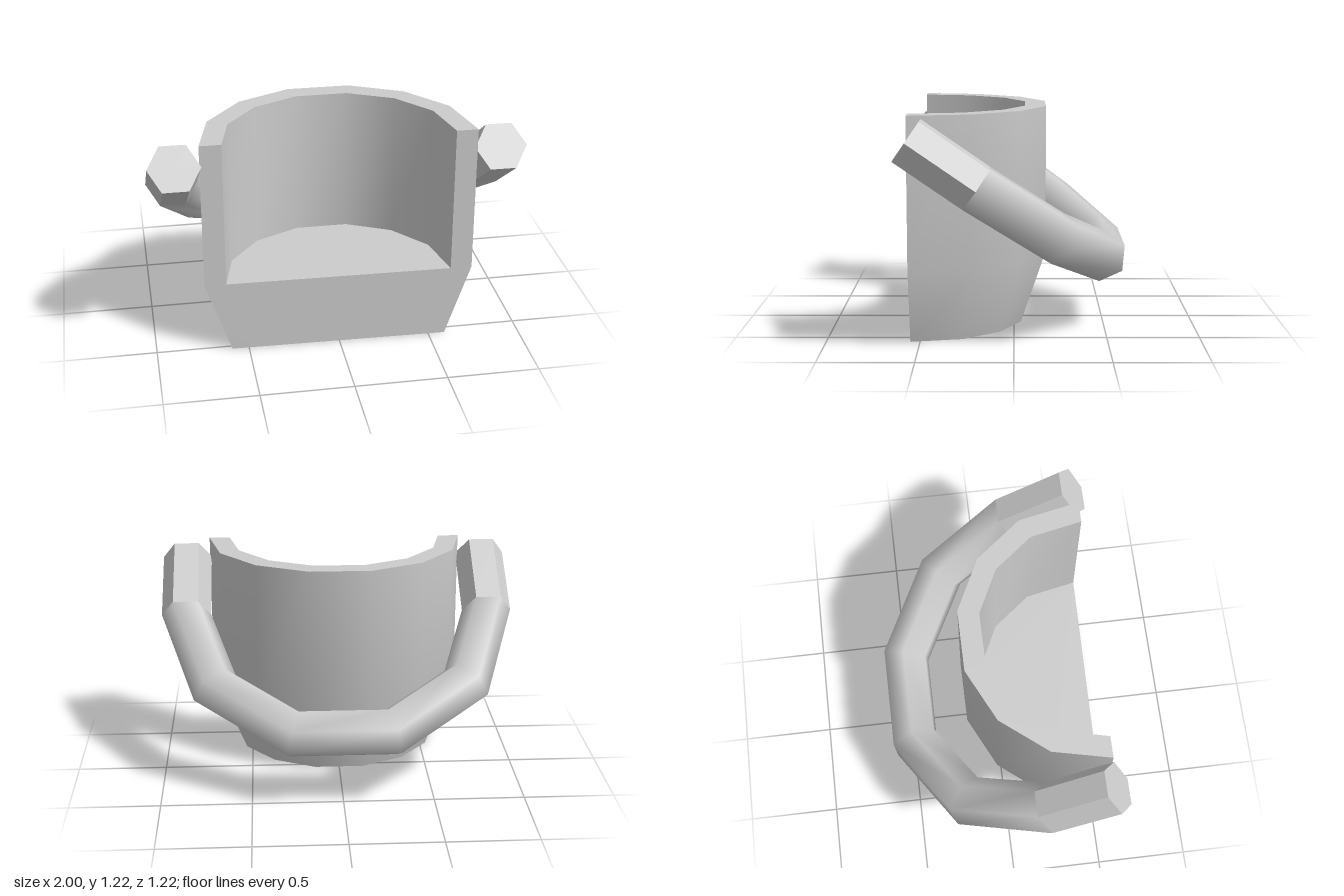
import * as THREE from 'three';
import { toCreasedNormals } from 'three/addons/utils/BufferGeometryUtils.js';

const FRONT = 0.54;
const material = () => new THREE.MeshStandardMaterial({ color: 0xcccccc });

// Half-round outline from the left front corner, round the back, to the right
const half = [[0.73, 0], [0.66, -0.325], [0.46, -0.575], [0.17, -0.715]];
const outline = [...half, ...half.map(([x, z]) => [-x, z]).reverse()];

function ring(scale, y) {
  return outline.map(([x, z]) => {
    const skew = z === 0 ? 0.012 * Math.sign(x) : 0;
    return [x * scale, y, FRONT + z * scale + skew];
  });
}

// Half-round pocket: tapered solid base, thick curved wall, open front
function createPocket() {
  const rings = [ring(0.81, 0), ring(1, 0.405), ring(1, 1.22), ring(0.84, 1.22), ring(0.84, 0.405)];
  const [bottom, mid, top, innerTop, floor] = rings;
  const last = outline.length - 1;
  const positions = [];
  const face = (...p) => {
    for (let i = 1; i < p.length - 1; i++) positions.push(...p[0], ...p[i], ...p[i + 1]);
  };
  // outside, rim and inside of the wall
  for (let r = 0; r < rings.length - 1; r++) {
    for (let i = 0; i < last; i++) {
      face(rings[r][i], rings[r][i + 1], rings[r + 1][i + 1], rings[r + 1][i]);
    }
  }
  // inner floor, underside, front panel and the two front wall ends
  face(...floor);
  face(...[...bottom].reverse());
  face(bottom[last], bottom[0], mid[0], mid[last]);
  face(mid[0], top[0], innerTop[0], floor[0]);
  face(floor[last], innerTop[last], top[last], mid[last]);

  const geometry = new THREE.BufferGeometry();
  geometry.setAttribute('position', new THREE.Float32BufferAttribute(positions, 3));
  const mesh = new THREE.Mesh(toCreasedNormals(geometry, 0.65), material());
  mesh.name = 'pocket';
  return mesh;
}

// Tilted U-shaped bar: faceted half ring with two straight hexagonal ends
function createBar() {
  const radius = 0.86, thickness = 0.14, armLength = 0.427;
  const bar = new THREE.Group();
  bar.name = 'tiltedBar';

  const bend = new THREE.Mesh(new THREE.TorusGeometry(radius, thickness, 6, 5, Math.PI), material());
  bend.name = 'barBend';
  bar.add(bend);

  for (const side of [1, -1]) {
    const geometry = new THREE.CylinderGeometry(thickness, thickness, armLength, 6, 1, false, Math.PI / 2);
    const armMaterial = material();
    armMaterial.flatShading = true;
    const arm = new THREE.Mesh(geometry, armMaterial);
    arm.position.set(side * radius, -armLength / 2, 0);
    arm.name = side > 0 ? 'leftBarEnd' : 'rightBarEnd';
    bar.add(arm);
  }
  // the bend points back and down
  bar.rotation.x = Math.atan2(-0.823, -0.568);
  bar.position.set(0, 0.867, 0.189);
  return bar;
}

export function createModel() {
  const model = new THREE.Group();
  model.name = 'pocketWithBar';
  model.add(createPocket(), createBar());
  return model;
}
